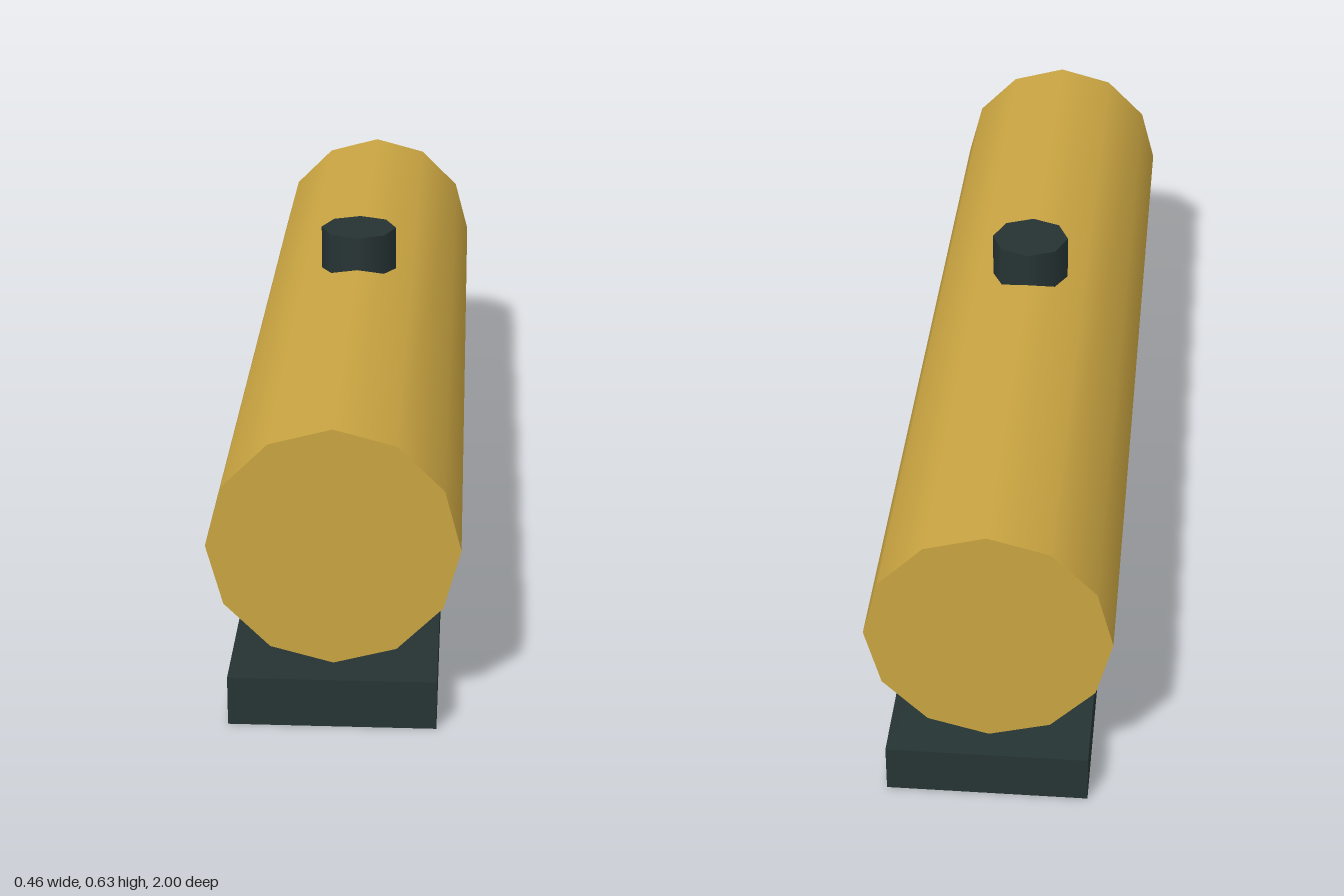
import * as THREE from 'three';

export function createModel() {
  const model = new THREE.Group();
  model.name = 'storageTank';

  const brass = new THREE.MeshStandardMaterial({ name: 'ochre yellow', color: 0xc9a441 });
  const dark = new THREE.MeshStandardMaterial({ name: 'dark slate', color: 0x263333 });

  const addPart = (name, geometry, material, y) => {
    const mesh = new THREE.Mesh(geometry, material);
    mesh.name = name;
    mesh.position.y = y;
    model.add(mesh);
    return mesh;
  };

  // Flat plinth under the tank
  addPart('base', new THREE.BoxGeometry(0.38, 0.095, 2), dark, 0.0475);

  // Twelve-sided tank lying along z, just clear of the base
  const tank = addPart('tank', new THREE.CylinderGeometry(0.23, 0.23, 1.904, 12), brass, 0.335);
  tank.rotation.x = Math.PI / 2;

  // Eight-sided filler cap sunk into the top of the tank
  addPart('fillerCap', new THREE.CylinderGeometry(0.079, 0.079, 0.115, 8), dark, 0.5775);

  return model;
}
